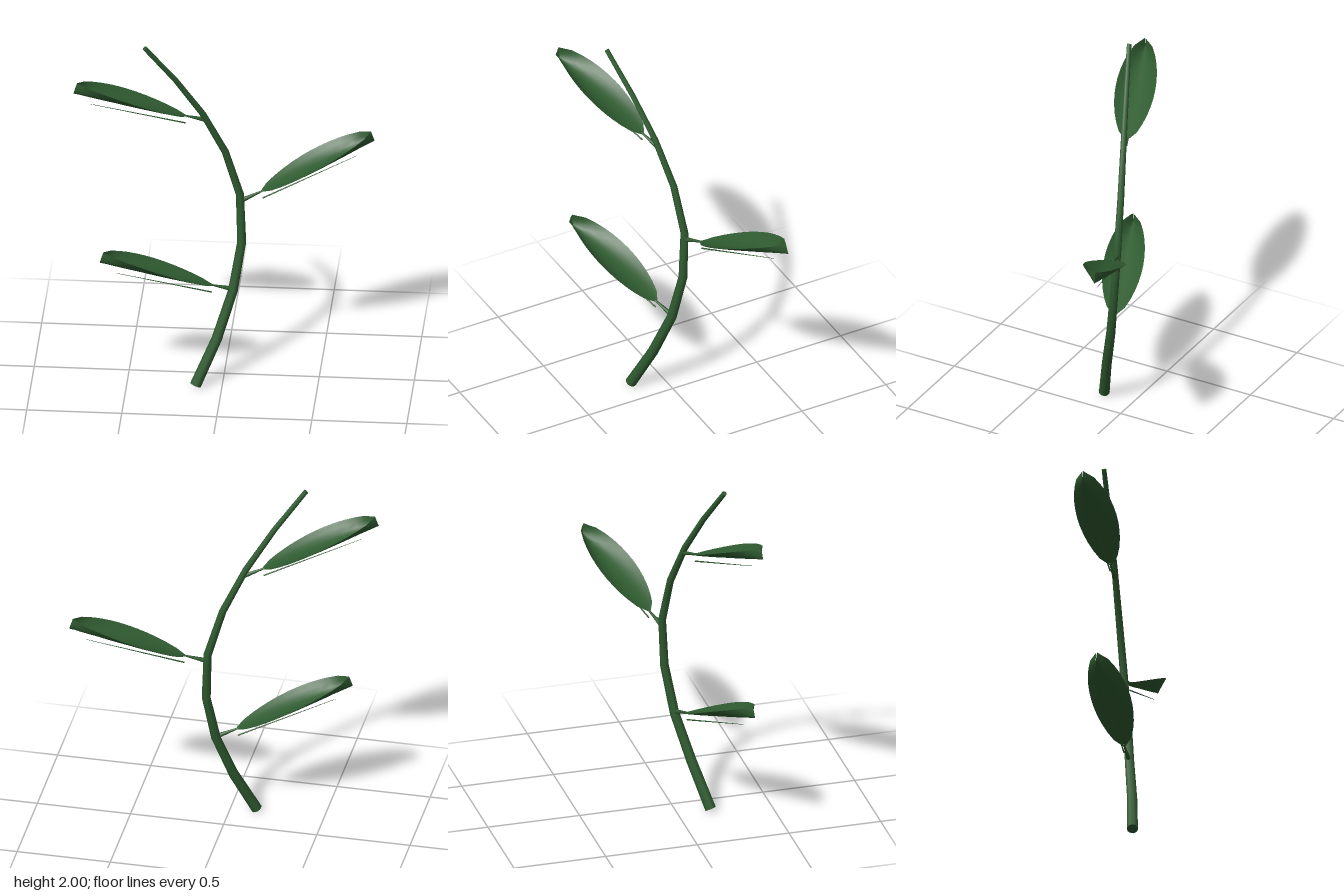
import * as THREE from 'three';

const green = new THREE.MeshStandardMaterial({ color: 0x2f5b30, side: THREE.DoubleSide });
green.name = 'leaf green';

const V = (x, y, z) => new THREE.Vector3(x, y, z);

function part(name, geometry) {
  const mesh = new THREE.Mesh(geometry, green);
  mesh.name = name;
  return mesh;
}

// Tapered rod between two points
function rod(name, a, b, ra, rb) {
  const dir = b.clone().sub(a);
  const mesh = part(name, new THREE.CylinderGeometry(rb, ra, dir.length(), 8));
  mesh.position.copy(a).add(b).multiplyScalar(0.5);
  mesh.quaternion.setFromUnitVectors(V(0, 1, 0), dir.normalize());
  return mesh;
}

// Curved stem: a tube whose rings shrink towards the top, with end caps
function makeStem(points) {
  const group = new THREE.Group();
  group.name = 'stem';
  const curve = new THREE.CatmullRomCurve3(points);
  const rings = 8, sides = 8;
  const radius = t => 0.03 - 0.017 * t;
  const geo = new THREE.TubeGeometry(curve, rings, 1, sides);
  const pos = geo.attributes.position;
  const v = V(0, 0, 0);
  for (let i = 0; i < pos.count; i++) {
    const t = Math.floor(i / (sides + 1)) / rings;
    const c = curve.getPointAt(t);
    v.fromBufferAttribute(pos, i).sub(c).multiplyScalar(radius(t)).add(c);
    pos.setXYZ(i, v.x, v.y, v.z);
  }
  group.add(part('stemTube', geo));
  for (const t of [0, 1]) {
    const cap = part('stemCap', new THREE.CircleGeometry(radius(t), sides));
    cap.position.copy(curve.getPointAt(t));
    cap.quaternion.setFromUnitVectors(V(0, 0, 1), curve.getTangentAt(t).multiplyScalar(t ? 1 : -1));
    group.add(cap);
  }
  return group;
}

// Leaf along local +x: width swells in the middle, margins curl up towards the tip
function bladeGeometry(start, length) {
  const geo = new THREE.PlaneGeometry(1, 2, 12, 8).rotateX(-Math.PI / 2);
  const pos = geo.attributes.position;
  for (let i = 0; i < pos.count; i++) {
    const t = pos.getX(i) + 0.5, u = pos.getZ(i);
    const halfWidth = 0.104 * Math.pow(Math.max(0, Math.sin(Math.PI * t)), 0.6) + 0.002;
    const curl = 0.06 * Math.sin(t * Math.PI / 2);
    pos.setXYZ(i, start + length * t, curl * u * u, halfWidth * u);
  }
  geo.computeVertexNormals();
  return geo;
}

function makeLeaf(name, base, side) {
  const leaf = new THREE.Group();
  leaf.name = name;
  const start = 0.11, length = 0.66;
  leaf.add(part('blade', bladeGeometry(start, length)));
  leaf.add(rod('leafStalk', V(0, 0, 0), V(start + 0.02, 0, 0), 0.014, 0.004));
  leaf.add(rod('midrib', V(start, -0.04, 0), V(start + length * 0.83, -0.04, 0), 0.004, 0.001));
  // Aim +x outwards and upwards while keeping the blade level across
  const out = V(0.685 * side, 0.255, -0.247 * side).normalize();
  const across = out.clone().cross(V(0, 1, 0)).normalize();
  const up = across.clone().cross(out);
  leaf.quaternion.setFromRotationMatrix(new THREE.Matrix4().makeBasis(out, up, across));
  leaf.position.copy(base);
  return leaf;
}

export function createModel() {
  const model = new THREE.Group();
  model.name = 'leafySprig';
  const points = [
    V(-0.138, 0.015, 0.175), V(-0.03, 0.26, 0.1), V(0.05, 0.515, 0.03),
    V(0.09, 0.76, -0.01), V(0.086, 1.01, -0.027), V(0.022, 1.26, -0.01),
    V(-0.088, 1.51, 0.035), V(-0.235, 1.755, 0.1), V(-0.405, 1.992, 0.175),
  ];
  model.add(makeStem(points));

  // Alternating leaves at every second stem point
  model.add(makeLeaf('lowerLeaf', points[2], -1));
  model.add(makeLeaf('middleLeaf', points[4], 1));
  model.add(makeLeaf('upperLeaf', points[6], -1));
  return model;
}
